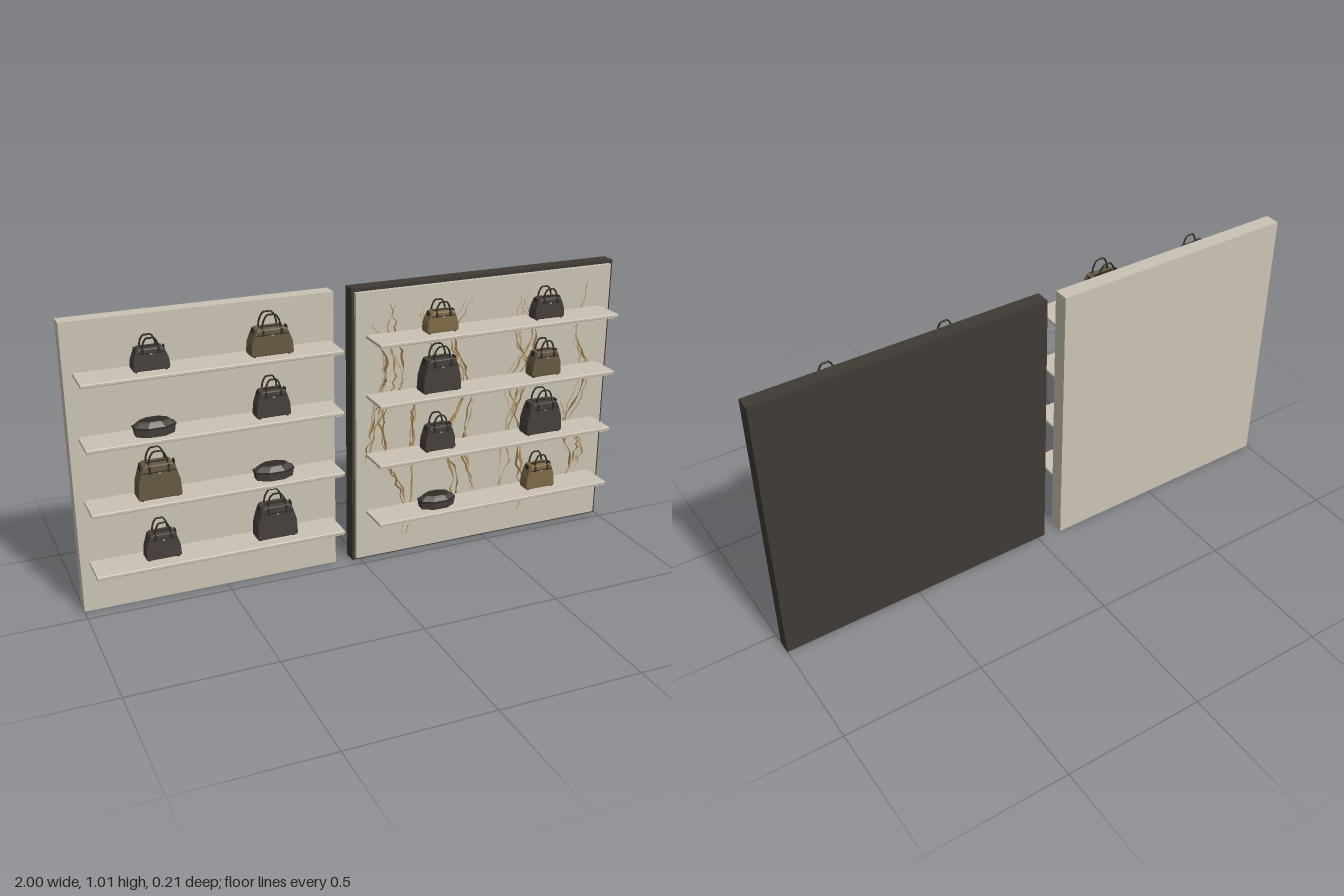
import * as THREE from 'three';
import { RoundedBoxGeometry } from 'three/addons/geometries/RoundedBoxGeometry.js';

const material = (name, color, side = THREE.FrontSide) => {
  const m = new THREE.MeshStandardMaterial({ color, side });
  m.name = name;
  return m;
};

export function createModel() {
  const M = {
    stone: material('pale stone', 0xcbc3b4),
    frame: material('dark frame', 0x403a34),
    dark: material('dark leather', 0x46403b),
    olive: material('olive leather', 0x645a41),
    tan: material('tan leather', 0x7f6a47),
    trim: material('black trim', 0x302c26),
    metal: material('metal', 0xa59a86),
    vein: material('gold vein', 0xa5854f, THREE.DoubleSide),
    veinDark: material('brown vein', 0x83683c, THREE.DoubleSide),
    veinPale: material('pale vein', 0xb5a07a, THREE.DoubleSide),
  };
  const root = new THREE.Group();
  root.name = 'bagDisplayWall';

  const add = (parent, name, geo, mat, x = 0, y = 0, z = 0) => {
    const mesh = new THREE.Mesh(geo, mat);
    mesh.name = name;
    mesh.position.set(x, y, z);
    parent.add(mesh);
    return mesh;
  };
  // Box from its minimum and maximum corners
  const span = (name, mat, x0, x1, y0, y1, z0, z1) =>
    add(root, name, new THREE.BoxGeometry(x1 - x0, y1 - y0, z1 - z0), mat,
      (x0 + x1) / 2, (y0 + y1) / 2, (z0 + z1) / 2);

  // Wall panels
  span('leftPanel', M.stone, -1, -0.09, 0, 1.01, -0.105, -0.05);
  span('rightFrame', M.frame, -0.03, 1, 0, 1.015, -0.09, -0.037);
  span('rightStonePanel', M.stone, -0.02, 0.985, 0.012, 1.003, -0.038, -0.022);

  // Shelves with a small lip under the front edge
  const shelfTops = [0.854, 0.64, 0.42, 0.2];
  for (const top of shelfTops) {
    for (const [x0, x1] of [[-0.975, -0.115], [0.015, 0.945]]) {
      const w = x1 - x0, cx = (x0 + x1) / 2;
      add(root, 'shelf', new RoundedBoxGeometry(w, 0.012, 0.125, 2, 0.003), M.stone, cx, top - 0.006, 0.0425);
      add(root, 'shelfLip', new THREE.BoxGeometry(w - 0.01, 0.004, 0.014), M.stone, cx, top - 0.0135, 0.095);
    }
  }

  // Extruded front profile, centred in depth
  const slab = (pts, depth, bevel) => {
    const geo = new THREE.ExtrudeGeometry(
      new THREE.Shape(pts.map(p => new THREE.Vector2(...p))),
      { depth: depth - 2 * bevel, bevelEnabled: bevel > 0, bevelSize: bevel,
        bevelOffset: -bevel, bevelThickness: bevel, bevelSegments: 2 });
    return geo.translate(0, 0, -depth / 2 + bevel);
  };

  // Handbag: tapered body, rolled top, two arched handles, clasp and feet
  function handbag(w, h, total, depth, mat) {
    const g = new THREE.Group();
    g.name = 'handbag';
    const b = w / 2, t = w * 0.34;
    add(g, 'bagBody', slab([[-b + 0.004, 0.003], [b - 0.004, 0.003], [b, 0.01], [b * 0.95, h * 0.5],
      [t * 1.15, h * 0.84], [t, h * 0.97], [t * 0.8, h], [-t * 0.8, h], [-t, h * 0.97],
      [-t * 1.15, h * 0.84], [-b * 0.95, h * 0.5], [-b, 0.01]], depth, 0.004), mat);
    add(g, 'bagZip', new THREE.BoxGeometry(t * 1.5, 0.003, 0.008), M.trim, 0, h + 0.001, 0);
    for (const s of [-1, 1]) {
      const face = s * (depth / 2 + 0.0005);
      add(g, 'bagSeam', new THREE.BoxGeometry(w * 0.74, 0.003, 0.002), M.trim, 0, h * 0.8, face);
      // Handle arch and its tabs
      const r = w * 0.215, zh = s * 0.02, rise = total - h;
      const arch = new THREE.CatmullRomCurve3([[-r, h * 0.82], [-r, h], [-r * 0.82, h + rise * 0.55],
        [-r * 0.42, h + rise * 0.92], [0, total - 0.003], [r * 0.42, h + rise * 0.92],
        [r * 0.82, h + rise * 0.55], [r, h], [r, h * 0.82]].map(p => new THREE.Vector3(p[0], p[1], zh)));
      add(g, 'bagHandle', new THREE.TubeGeometry(arch, 28, 0.003, 6), M.trim);
      for (const k of [-1, 1]) {
        add(g, 'handleTab', new THREE.BoxGeometry(0.008, h * 0.22, 0.003), M.trim, k * r, h * 0.87, face);
        add(g, 'bagFoot', new THREE.CylinderGeometry(0.004, 0.004, 0.004, 8), M.trim, k * b * 0.8, 0.002, s * depth * 0.35);
        if (s > 0) add(g, 'sideStrap', new THREE.BoxGeometry(0.004, h * 0.3, depth * 0.35), M.trim, k * t * 1.13, h * 0.85, 0);
      }
    }
    add(g, 'bagClasp', new THREE.BoxGeometry(0.008, 0.005, 0.003), M.metal, 0, h * 0.77, depth / 2 + 0.001);
    return g;
  }

  // Low eight-sided case with a stepped lid
  function lowCase() {
    const g = new THREE.Group();
    g.name = 'lowCase';
    const layer = (name, rTop, rBottom, y0, y1, mat) => {
      const geo = new THREE.CylinderGeometry(rTop, rBottom, y1 - y0, 8).toNonIndexed();
      geo.rotateY(Math.PI / 8).scale(1, 1, 0.58);
      geo.computeVertexNormals();
      add(g, name, geo, mat, 0, (y0 + y1) / 2, 0);
    };
    layer('caseBase', 0.072, 0.068, 0, 0.026, M.dark);
    layer('caseRim', 0.074, 0.074, 0.026, 0.031, M.trim);
    layer('caseLid', 0.052, 0.07, 0.031, 0.045, M.dark);
    layer('caseTop', 0.046, 0.05, 0.045, 0.048, M.trim);
    return g;
  }

  // Arrangement by shelf; S small bag, L tall bag, W wide bag, C low case
  const makers = {
    S: mat => handbag(0.12, 0.076, 0.111, 0.048, mat),
    M: mat => handbag(0.12, 0.094, 0.135, 0.05, mat),
    L: mat => handbag(0.146, 0.122, 0.168, 0.06, mat),
    W: mat => handbag(0.146, 0.092, 0.14, 0.06, mat),
    C: () => lowCase(),
  };
  const columns = [-0.743, -0.348, 0.266, 0.685];
  const layout = [
    ['S dark', 'W olive', 'S tan', 'S dark'],
    ['C dark', 'M dark', 'L dark', 'M olive'],
    ['L olive', 'C dark', 'M dark', 'L dark'],
    ['M dark', 'L dark', 'C dark', 'M tan'],
  ];
  layout.forEach((row, i) => row.forEach((code, j) => {
    const [type, colour] = code.split(' ');
    const bag = makers[type](M[colour]);
    bag.position.set(columns[j], shelfTops[i], 0.04);
    root.add(bag);
  }));

  // Veins: thin jagged ribbons following loose guide paths
  let seed = 11;
  const rand = () => (seed = (seed * 16807) % 2147483647) / 2147483647;
  function ribbon(points, width, z, mat) {
    const curve = new THREE.CatmullRomCurve3(points.map(p => new THREE.Vector3(p[0], p[1], 0)));
    const n = points.length * 6, pos = [], index = [];
    for (let i = 0; i <= n; i++) {
      const p = curve.getPoint(i / n);
      const x = p.x + (rand() - 0.5) * 0.018;
      const half = width * (0.15 + 0.85 * rand()) * Math.min(1, 4 * i / n, 4 - 4 * i / n) / 2;
      pos.push(x - half, p.y, z, x + half, p.y, z);
      if (i < n) index.push(2 * i, 2 * i + 2, 2 * i + 1, 2 * i + 1, 2 * i + 2, 2 * i + 3);
    }
    const geo = new THREE.BufferGeometry();
    geo.setAttribute('position', new THREE.Float32BufferAttribute(pos, 3));
    geo.setIndex(index);
    geo.computeVertexNormals();
    add(root, 'stoneVein', geo, mat);
  }
  const guides = [
    [[0.13, 0.98], [0.1, 0.85], [0.13, 0.69], [0.07, 0.55], [0.1, 0.37], [0.17, 0.21], [0.16, 0.05]],
    [[0.04, 0.9], [0.09, 0.72], [0.05, 0.55], [0.01, 0.37]],
    [[0.22, 0.95], [0.26, 0.75], [0.2, 0.55], [0.2, 0.35], [0.18, 0.07]],
    [[0.4, 0.95], [0.34, 0.8], [0.4, 0.63], [0.33, 0.42], [0.36, 0.25], [0.33, 0.1]],
    [[0.43, 0.6], [0.4, 0.4], [0.44, 0.2]],
    [[0.66, 0.98], [0.61, 0.8], [0.65, 0.63], [0.58, 0.45], [0.56, 0.27], [0.53, 0.1]],
    [[0.6, 0.92], [0.67, 0.78], [0.59, 0.6], [0.64, 0.4], [0.65, 0.2], [0.64, 0.06]],
    [[0.89, 0.97], [0.86, 0.75], [0.9, 0.6], [0.82, 0.37], [0.87, 0.25], [0.76, 0.12]],
    [[0.78, 0.55], [0.84, 0.42], [0.9, 0.3], [0.85, 0.18]],
  ];
  const veinMats = [M.vein, M.veinDark, M.veinPale];
  guides.forEach((path, i) => {
    for (let k = 0; k < 3; k++) {
      const part = k === 2 ? path.slice(1, 4) : path;
      const pts = part.map(p => [p[0] + (k ? (rand() - 0.5) * 0.06 : 0), p[1]]);
      ribbon(pts, 0.013 - 0.002 * k, -0.0212 + 0.0001 * (k + i * 3 % 9), veinMats[(i + k) % 3]);
    }
  });

  return root;
}
